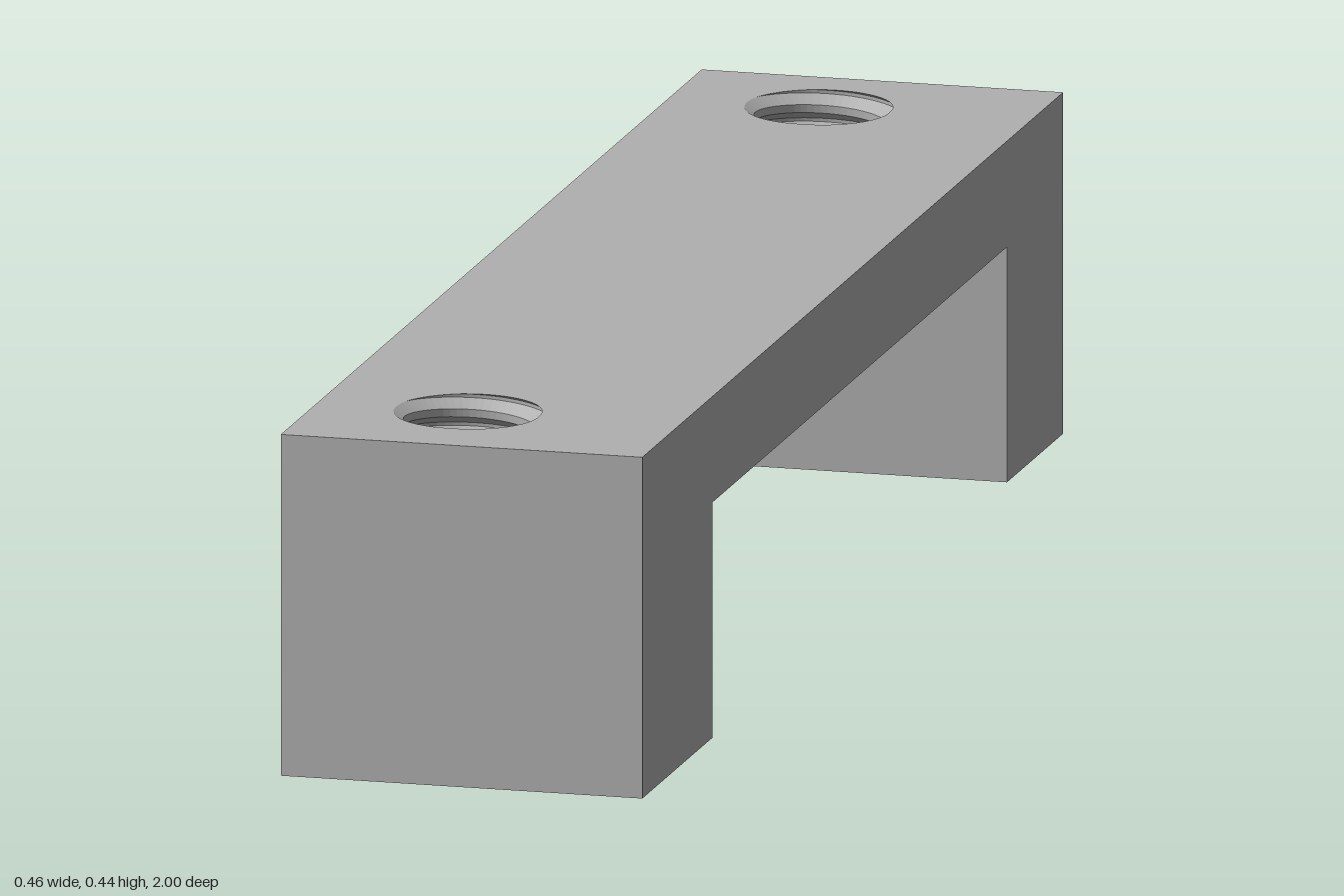
import * as THREE from 'three';

const W = 0.232, H = 0.435, UNDER = 0.3;      // half width, height, underside of the bridge
const FRONT = 0.667, BACK = -0.733;           // inner faces of the two legs
const HOLE_X = -0.033, HOLES_Z = [0.829, -0.838];
const CREST = 0.085, ROOT = 0.103, PITCH = 0.036, SIDES = 64;

const angle = (i) => (i % SIDES) / SIDES * Math.PI * 2;

// Radius of the right-hand thread at column i and height y
function threadRadius(i, y) {
  const f = (y - H) / PITCH - i / SIDES + 0.375;
  const d = Math.abs(f - Math.round(f));      // distance from groove centre, in pitches
  const k = THREE.MathUtils.clamp((0.36 - d) / 0.3, 0, 1);
  return CREST + (ROOT - CREST) * k;
}

// Helical wall of one tapped hole, facing the hole's axis
function threadGeometry() {
  const keys = [-0.36, -0.06, 0.06, 0.36];
  const levels = [];
  for (let n = -Math.ceil(H / PITCH) - 2; n <= 2; n++) {
    for (const k of keys) levels.push(n + k);
  }
  const pos = [], index = [], rows = levels.length;
  for (let i = 0; i <= SIDES; i++) {
    const t = angle(i);
    for (const level of levels) {
      const y = THREE.MathUtils.clamp(H + PITCH * (level + i / SIDES - 0.375), 0, H);
      const r = threadRadius(i, y);
      pos.push(r * Math.cos(t), y, -r * Math.sin(t));
    }
  }
  for (let i = 0; i < SIDES; i++) {
    for (let j = 0; j < rows - 1; j++) {
      const a = i * rows + j, b = a + rows;
      const y = (v) => pos[v * 3 + 1];
      if (y(a) !== y(a + 1)) index.push(a, a + 1, b);
      if (y(b) !== y(b + 1)) index.push(b, a + 1, b + 1);
    }
  }
  const indexed = new THREE.BufferGeometry();
  indexed.setAttribute('position', new THREE.Float32BufferAttribute(pos, 3));
  indexed.setIndex(index);
  const g = indexed.toNonIndexed();
  g.computeVertexNormals();
  return g;
}

// Outline of a hole where the thread meets a flat face at height y
function holePath(z, y) {
  const pts = [];
  for (let i = 0; i < SIDES; i++) {
    const r = threadRadius(i, y), t = angle(i);
    pts.push(new THREE.Vector2(HOLE_X + r * Math.cos(t), -z + r * Math.sin(t)));
  }
  return new THREE.Path(pts);
}

const polygon = (pts) => new THREE.Shape(pts.map(([x, y]) => new THREE.Vector2(x, y)));
const rect = (x0, x1, y0, y1) => polygon([[x0, y0], [x1, y0], [x1, y1], [x0, y1]]);

function flip(g) {
  const ix = g.index.array;
  for (let i = 0; i < ix.length; i += 3) [ix[i], ix[i + 1]] = [ix[i + 1], ix[i]];
  g.computeVertexNormals();
  return g;
}

export function createModel() {
  const model = new THREE.Group();
  model.name = 'handle';
  const grey = new THREE.MeshStandardMaterial({ color: 0xb0b0b0 });
  grey.name = 'grey';
  const add = (name, g) => {
    const mesh = new THREE.Mesh(g, grey);
    mesh.name = name;
    model.add(mesh);
    return mesh;
  };

  // Horizontal faces: top, feet and the underside of the bridge
  const level = (name, z0, z1, y, down, holes) => {
    const shape = rect(-W, W, -z1, -z0);
    shape.holes = holes.map((z) => holePath(z, y));
    const g = new THREE.ShapeGeometry(shape).rotateX(-Math.PI / 2).translate(0, y, 0);
    add(name, down ? flip(g) : g);
  };
  level('topFace', -1, 1, H, false, HOLES_Z);
  level('frontFoot', FRONT, 1, 0, true, [HOLES_Z[0]]);
  level('backFoot', -1, BACK, 0, true, [HOLES_Z[1]]);
  level('bridgeUnderside', BACK, FRONT, UNDER, true, []);

  // Side faces with the bridge profile
  const profile = polygon([[-1, 0], [BACK, 0], [BACK, UNDER], [FRONT, UNDER],
    [FRONT, 0], [1, 0], [1, H], [-1, H]]);
  const side = (x) => new THREE.ShapeGeometry(profile).rotateY(-Math.PI / 2).translate(x, 0, 0);
  add('rightSide', side(-W));
  add('leftSide', flip(side(W)));

  // End faces and inner faces of the legs
  const wall = (name, z, top, backward) => {
    const g = new THREE.ShapeGeometry(rect(-W, W, 0, top)).translate(0, 0, z);
    add(name, backward ? flip(g) : g);
  };
  wall('frontEnd', 1, H, false);
  wall('backEnd', -1, H, true);
  wall('frontLegInside', FRONT, UNDER, true);
  wall('backLegInside', BACK, UNDER, false);

  // Tapped holes through both legs
  const thread = threadGeometry();
  ['frontThread', 'backThread'].forEach((name, i) => {
    add(name, thread).position.set(HOLE_X, 0, HOLES_Z[i]);
  });
  return model;
}
